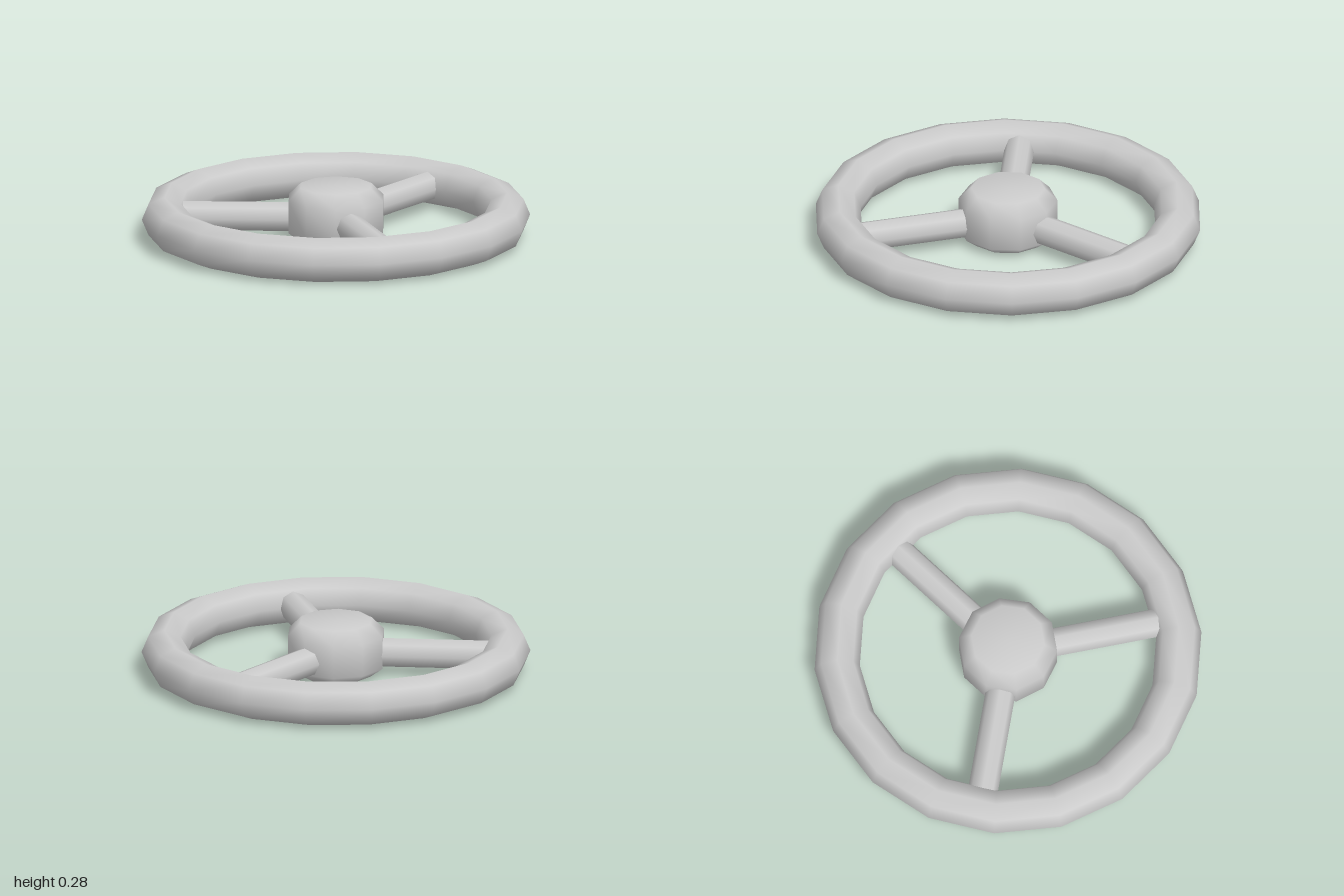
import * as THREE from 'three';

export function createModel() {
  const model = new THREE.Group();
  model.name = 'handwheel';
  const material = new THREE.MeshStandardMaterial({ color: 0xcccccc });
  const midHeight = 0.118;

  const add = (geometry, name) => {
    const mesh = new THREE.Mesh(geometry, material);
    mesh.name = name;
    model.add(mesh);
    return mesh;
  };

  // Rim: 18-sided ring with an octagonal section
  const rim = add(new THREE.TorusGeometry(0.883, 0.117, 8, 18).rotateX(-Math.PI / 2), 'rim');
  rim.position.y = midHeight;

  // Hub: ten-sided drum, bevelled above and below
  const profile = [[0, 0.002], [0.19, 0.002], [0.255, 0.05], [0.255, 0.22], [0.19, 0.285], [0, 0.285]]
    .map(([r, y]) => new THREE.Vector2(r, y));
  add(new THREE.LatheGeometry(profile, 10), 'hub');

  // Spokes: one straight back, two splayed forward, sunk into hub and rim
  const inner = 0.1, outer = 0.86;
  const spokeGeometry = new THREE.CylinderGeometry(0.077, 0.077, outer - inner, 8)
    .rotateZ(-Math.PI / 2)
    .translate((inner + outer) / 2, 0, 0);
  const spokes = { backSpoke: 90, leftSpoke: -34.5, rightSpoke: -145.5 };
  for (const [name, degrees] of Object.entries(spokes)) {
    const spoke = add(spokeGeometry, name);
    spoke.position.y = midHeight;
    spoke.rotation.y = THREE.MathUtils.degToRad(degrees);
  }

  return model;
}
